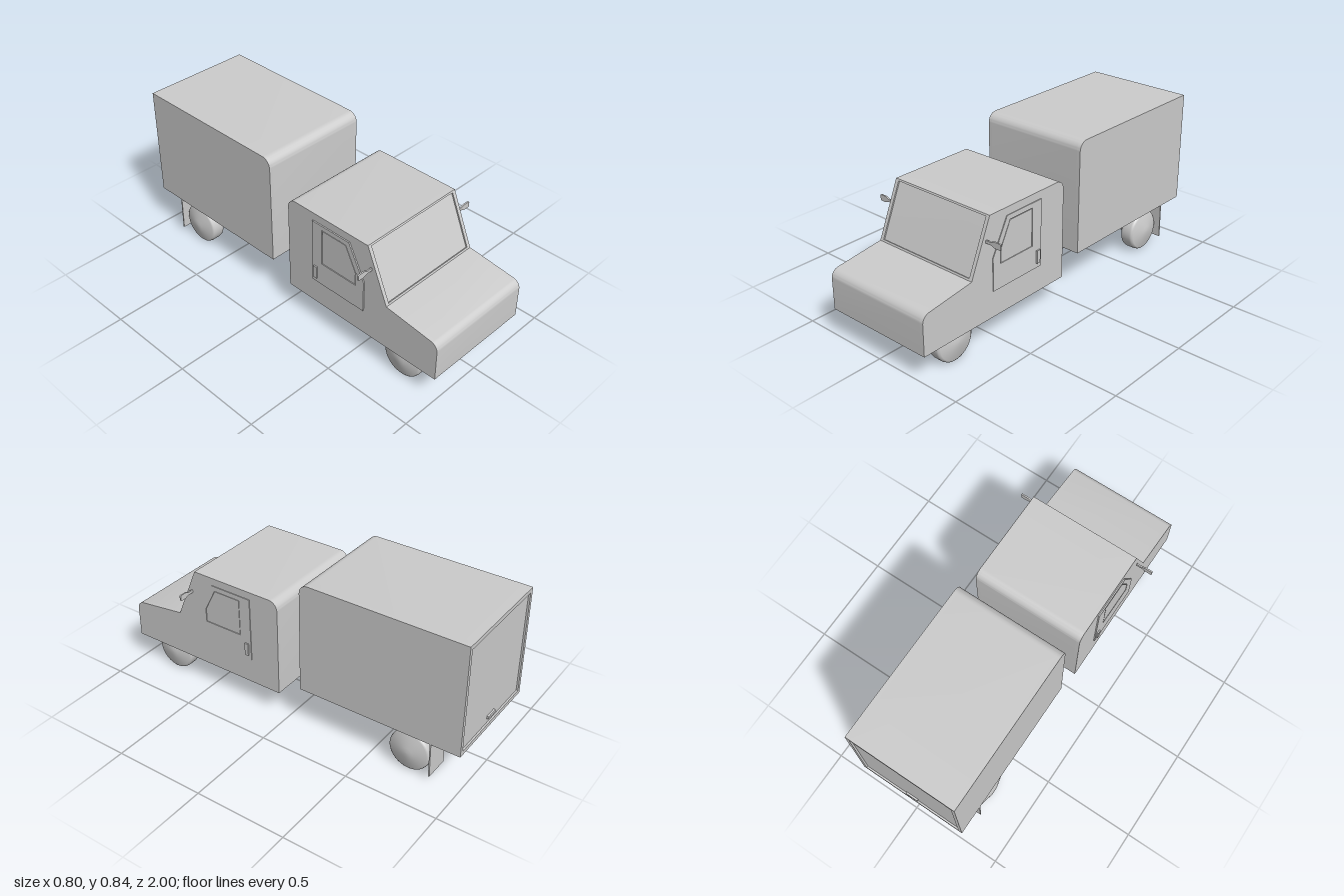
import * as THREE from 'three';
import { toCreasedNormals } from 'three/addons/utils/BufferGeometryUtils.js';

const material = new THREE.MeshStandardMaterial({ color: 0xcccccc });

function add(parent, name, geometry, x = 0, y = 0, z = 0) {
  const mesh = new THREE.Mesh(geometry, material);
  mesh.name = name;
  mesh.position.set(x, y, z);
  parent.add(mesh);
  return mesh;
}

// Outline from [z, y, radius] corners; corners with a radius are rounded
function outline(points) {
  const shape = new THREE.Shape();
  points.forEach(([z, y, r], i) => {
    const p = new THREE.Vector2(z, y);
    const toward = (q, d) => p.clone().lerp(new THREE.Vector2(q[0], q[1]), d / p.distanceTo(new THREE.Vector2(q[0], q[1])));
    const prev = points[(i + points.length - 1) % points.length];
    const next = points[(i + 1) % points.length];
    if (r) {
      const a = toward(prev, r), b = toward(next, r);
      const c = toward(prev, r * 0.45), d = toward(next, r * 0.45);
      shape.lineTo(a.x, a.y);
      shape.bezierCurveTo(c.x, c.y, d.x, d.y, b.x, b.y);
    } else if (i === 0) shape.moveTo(z, y);
    else shape.lineTo(z, y);
  });
  return shape;
}

// Side outline swept across x from x0 to x1
function sweep(shape, x0, x1) {
  const g = new THREE.ExtrudeGeometry(shape, { depth: x1 - x0, bevelEnabled: false, curveSegments: 10 });
  g.rotateY(-Math.PI / 2).translate(x1, 0, 0);
  return toCreasedNormals(g, 0.5);
}

// Body with a recessed panel: plain outline at the sides, notched one between
function panelledBody(parent, name, plain, notched, half, panelHalf) {
  add(parent, name + 'RightEdge', sweep(outline(plain), -half, -panelHalf));
  add(parent, name + 'Middle', sweep(outline(notched), -panelHalf, panelHalf));
  add(parent, name + 'LeftEdge', sweep(outline(plain), panelHalf, half));
}

function buildCab() {
  const cab = new THREE.Group();
  cab.name = 'cab';
  const nose = [[0.04, 0.15], [1, 0.15], [1, 0.36, 0.04], [0.69, 0.4]];
  const roof = [[0.565, 0.692], [0.04, 0.692, 0.05]];
  const windscreen = [[0.686, 0.41], [0.679, 0.407], [0.562, 0.68], [0.569, 0.683]];
  panelledBody(cab, 'cabBody', [...nose, ...roof], [...nose, ...windscreen, ...roof], 0.31, 0.29);

  // Doors with a window opening, a pane and a handle
  for (const [side, label, face] of [[1, 'left', 0.314], [-1, 'right', 0.317]]) {
    const span = (a, b) => (side > 0 ? [a, b] : [-b, -a]);
    const door = outline([[0.21, 0.29], [0.55, 0.29], [0.55, 0.465], [0.452, 0.65], [0.21, 0.65]]);
    const windowPoints = [[0.275, 0.42], [0.5, 0.42], [0.5, 0.495], [0.433, 0.625], [0.275, 0.625]];
    door.holes.push(outline(windowPoints));
    add(cab, label + 'Door', sweep(door, ...span(0.305, face)));
    const pane = outline([[0.279, 0.424], [0.496, 0.424], [0.496, 0.494], [0.431, 0.621], [0.279, 0.621]]);
    add(cab, label + 'DoorWindow', sweep(pane, ...span(0.305, face - 0.001)));
    add(cab, label + 'DoorHandle', new THREE.BoxGeometry(0.014, 0.07, 0.022), side * (face + 0.0005), 0.35, 0.235);

    // Wing mirror: thin arm flaring into a flat head
    const mirror = outline([
      [0.3, 0.562], [0.345, 0.562], [0.365, 0.554], [0.401, 0.554, 0.005],
      [0.401, 0.586, 0.005], [0.36, 0.586], [0.34, 0.577], [0.3, 0.577],
    ]);
    const g = new THREE.ExtrudeGeometry(mirror, { depth: 0.008, bevelEnabled: false });
    const arm = add(cab, label + 'Mirror', g, 0, 0, side > 0 ? 0.586 : 0.594);
    if (side < 0) arm.rotation.y = Math.PI, arm.geometry = g.clone().translate(0, 0, 0);
  }
  return cab;
}

function buildCargoBox() {
  const box = new THREE.Group();
  box.name = 'cargoBox';
  const base = [[-1, 0.23], [-0.09, 0.23], [-0.09, 0.843, 0.05], [-1, 0.843]];
  const door = [[-1, 0.82], [-0.99, 0.82], [-0.99, 0.252], [-1, 0.252]];
  panelledBody(box, 'cargoBody', base, [...base, ...door], 0.305, 0.285);
  add(box, 'rearDoorHandle', new THREE.BoxGeometry(0.07, 0.016, 0.012), 0, 0.285, -0.994);
  return box;
}

function buildAxle(name, z) {
  const axle = new THREE.Group();
  axle.name = name;
  axle.position.set(0, 0.115, z);
  const rod = (label, r, length) =>
    add(axle, label, new THREE.CylinderGeometry(r, r, length, 32).rotateZ(Math.PI / 2), 0, -0.008, 0);
  rod('axleTube', 0.033, 0.354);
  rod('axleEnds', 0.027, 0.44);
  // Tyre profile as radius against distance from the centre line
  const profile = [
    [0, 0.2], [0.05, 0.195], [0.075, 0.195], [0.098, 0.201], [0.109, 0.21], [0.112, 0.222],
    [0.112, 0.265], [0.109, 0.276], [0.1, 0.283], [0.03, 0.302], [0, 0.303],
  ].map(([r, x]) => new THREE.Vector2(r, x));
  for (const side of [1, -1]) {
    const wheel = new THREE.LatheGeometry(profile, 48).rotateZ(-Math.PI / 2);
    const mesh = add(axle, side > 0 ? 'leftWheel' : 'rightWheel', wheel);
    if (side < 0) mesh.rotation.y = Math.PI;
  }
  return axle;
}

export function createModel() {
  const truck = new THREE.Group();
  truck.name = 'boxTruck';
  truck.add(buildCab(), buildCargoBox(), buildAxle('frontAxle', 0.775), buildAxle('rearAxle', -0.715));

  // Chassis beam joining cab and cargo box
  add(truck, 'chassisBeam', new THREE.BoxGeometry(0.124, 0.13, 1.5), 0, 0.165, 0.03);

  // Mud flaps behind the rear wheels
  for (const side of [1, -1]) {
    const flap = add(truck, side > 0 ? 'leftMudFlap' : 'rightMudFlap',
      new THREE.BoxGeometry(0.138, 0.2, 0.007), side * 0.235, 0.136, -0.843);
    flap.rotation.x = 0.02;
  }
  return truck;
}
